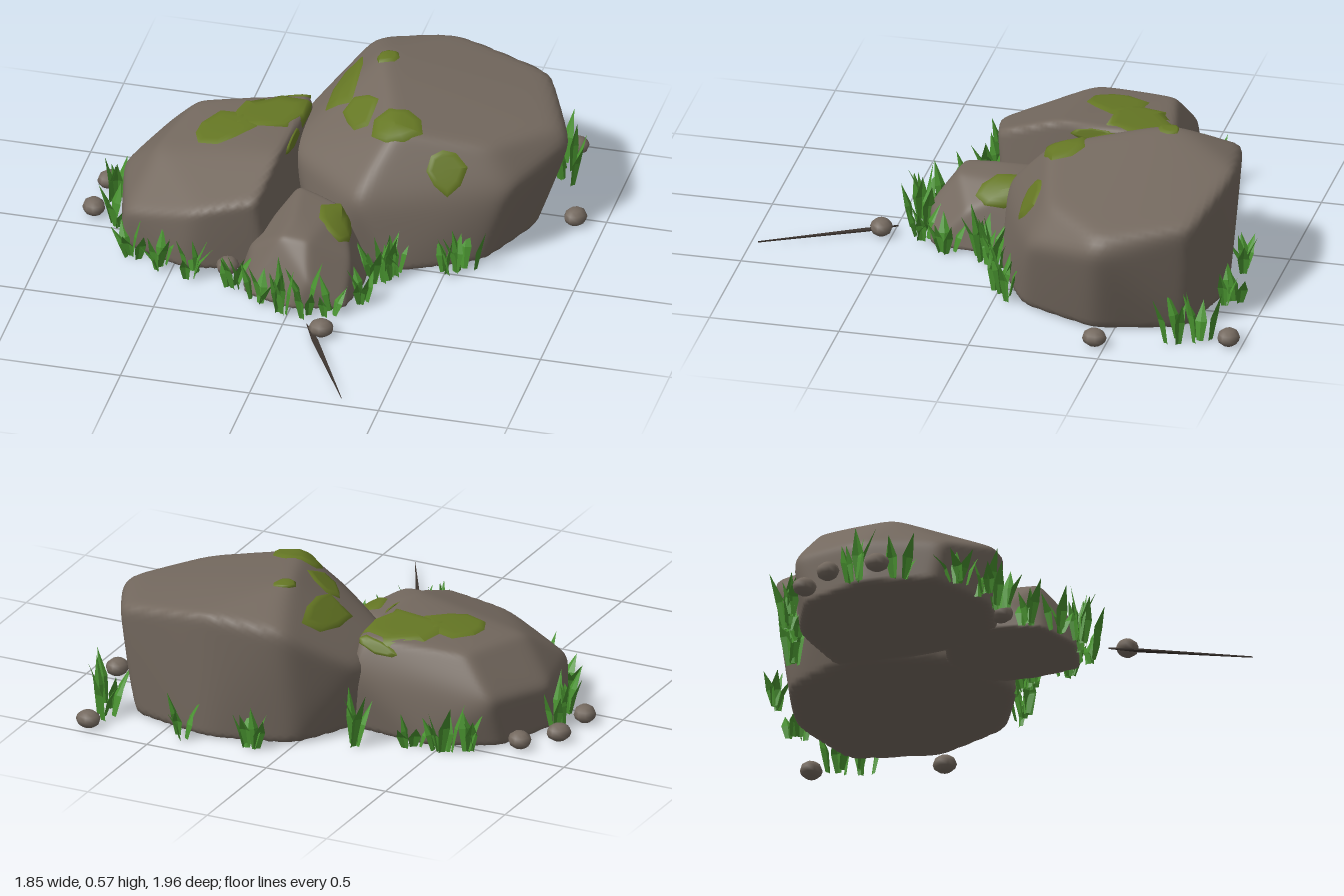
import * as THREE from 'three';
import { mergeVertices, mergeGeometries } from 'three/addons/utils/BufferGeometryUtils.js';
import { ConvexGeometry } from 'three/addons/geometries/ConvexGeometry.js';

const V = (x, y, z) => new THREE.Vector3(x, y, z);

let seed = 7;
const rand = (a, b) => {
  seed = (seed * 16807) % 2147483647;
  return a + (b - a) * (seed / 2147483647);
};

const material = (name, color, side = THREE.FrontSide) => {
  const m = new THREE.MeshStandardMaterial({ color, side });
  m.name = name;
  return m;
};
const stone = material('stone', 0x74695f);
const moss = material('moss', 0x657724, THREE.DoubleSide);
const grass = material('grass', 0x48922f, THREE.DoubleSide);
const darkStone = material('darkStone', 0x3d3530);

function addMesh(parent, name, geometry, mat) {
  const mesh = new THREE.Mesh(geometry, mat);
  mesh.name = name;
  parent.add(mesh);
  return mesh;
}

// Moves every vertex of a geometry by a rule
function reshape(geometry, rule) {
  const pos = geometry.getAttribute('position');
  for (let i = 0; i < pos.count; i++) {
    const p = rule(V().fromBufferAttribute(pos, i), i);
    pos.setXYZ(i, p.x, p.y, p.z);
  }
  geometry.computeVertexNormals();
  return geometry;
}

// Softened convex stone: distance from its centre to the surface in a given direction.
// The ground outline is a list of radii at even angles.
function boulderSurface(centre, corners, outline) {
  const pts = corners.map(p => V(...p));
  outline.forEach((r, i) => {
    const a = (i / outline.length) * Math.PI * 2;
    pts.push(V(centre.x + Math.cos(a) * r, 0, centre.z + Math.sin(a) * r));
  });
  const pos = new ConvexGeometry(pts).getAttribute('position');
  const planes = [];
  for (let i = 0; i < pos.count; i += 3) {
    const [a, b, c] = [0, 1, 2].map(k => V().fromBufferAttribute(pos, i + k));
    const n = b.sub(a).cross(c.sub(a)).normalize();
    const h = n.dot(a.sub(centre));
    if (h > 0.01 && !planes.some(p => p.n.dot(n) > 0.995 && Math.abs(p.h - h) < 0.01)) planes.push({ n, h });
  }
  return d => 1.01 * planes.reduce((s, { n, h }) => s + Math.max(0, n.dot(d) / h) ** 36, 0) ** (-1 / 36);
}

function boulderGeometry(centre, radius) {
  const ball = new THREE.IcosahedronGeometry(1, 26);
  ball.deleteAttribute('uv');
  ball.deleteAttribute('normal');
  return reshape(mergeVertices(ball), p => {
    p.normalize().multiplyScalar(radius(p)).add(centre);
    return p.setY(Math.max(0, p.y));
  });
}

// Ragged moss patch wrapped over a boulder around a target point
function mossGeometry(centre, radius, [x, y, z, width, height]) {
  const dir = V(x, y, z).sub(centre).normalize();
  const u = V(0, 1, 0).cross(dir).normalize(), v = dir.clone().cross(u);
  const middle = dir.clone().multiplyScalar(radius(dir));
  const sides = 8;
  const ragged = Array.from({ length: sides }, () => rand(0.75, 1.2));
  return reshape(new THREE.RingGeometry(0, 1, sides, 6), (p, i) => {
    const k = ragged[(i % (sides + 1)) % sides];
    const lift = p.length() > 0.99 ? 0.002 : 0.009;
    const q = middle.clone().addScaledVector(u, p.x * k * width).addScaledVector(v, p.y * k * height).normalize();
    return q.multiplyScalar(radius(q) + lift).add(centre);
  });
}

// One creased, curved grass blade leaning away from its tuft
function bladeGeometry(x, z, angle, height) {
  const out = V(Math.cos(angle), 0, Math.sin(angle)), side = V(-out.z, 0, out.x);
  const width = rand(0.038, 0.052), lean = rand(0.03, 0.075);
  return reshape(new THREE.PlaneGeometry(1, 1, 2, 2).toNonIndexed(), p => {
    const t = p.y + 0.5, s = p.x * width * (1 - t) * (0.55 + 2.9 * t);
    return V(x, height * t, z).addScaledVector(out, 0.01 + lean * t * t + Math.abs(s) * 0.35).addScaledVector(side, s);
  });
}

function addTuft(parent, x, z, height) {
  const count = Math.round(rand(4, 6)), blades = [];
  for (let k = 0; k < count; k++) {
    blades.push(bladeGeometry(x + rand(-0.025, 0.025), z + rand(-0.025, 0.025),
      (k / count) * Math.PI * 2 + rand(0, 1), height * rand(0.6, 1.05)));
  }
  addMesh(parent, 'grassTuft', mergeGeometries(blades), grass);
}

// A boulder with its moss patches [x, y, z, width, height] and grass tufts at angles in degrees
function boulder(name, centre, { corners, outline, patches, tufts }) {
  const group = new THREE.Group();
  group.name = name;
  const radius = boulderSurface(centre, corners, outline);
  addMesh(group, 'rock', boulderGeometry(centre, radius), stone);
  patches.forEach(p => addMesh(group, 'mossPatch', mossGeometry(centre, radius, p), moss));
  for (const degrees of tufts) {
    const a = THREE.MathUtils.degToRad(degrees);
    const foot = V(Math.cos(a), -0.2, Math.sin(a)).normalize();
    const reach = radius(foot) + 0.03;
    addTuft(group, centre.x + Math.cos(a) * reach, centre.z + Math.sin(a) * reach, rand(0.14, 0.2));
  }
  return group;
}

export function createModel() {
  seed = 7;
  const model = new THREE.Group();
  model.name = 'mossyBoulders';

  model.add(boulder('largeBoulder', V(0.33, 0.2, -0.42), {
    corners: [[0.12, 0.575, -0.57], [0.27, 0.51, -0.14], [0.02, 0.47, -0.83], [0.33, 0.51, -0.87], [0.71, 0.45, -0.8],
      [0.88, 0.36, -0.45], [0.82, 0.43, -0.47], [0.62, 0.44, -0.2], [0.17, 0.29, 0.05], [0.71, 0.3, -0.15],
      [-0.15, 0.29, -0.25], [-0.19, 0.27, -0.57]],
    outline: [0.42, 0.42, 0.46, 0.49, 0.5, 0.47, 0.43, 0.48],
    patches: [[-0.01, 0.45, -0.5, 0.16, 0.08], [0.13, 0.57, -0.57, 0.045, 0.035], [0.1, 0.47, -0.3, 0.09, 0.08],
      [0.27, 0.48, -0.21, 0.1, 0.09], [0.46, 0.37, -0.14, 0.075, 0.09]],
    tufts: [245, 281, 57, 66, 92],
  }));
  model.add(boulder('mediumBoulder', V(-0.45, 0.15, -0.18), {
    corners: [[-0.15, 0.4, -0.07], [-0.14, 0.38, -0.52], [-0.56, 0.35, -0.42], [-0.64, 0.32, -0.1], [-0.19, 0.31, 0.18],
      [-0.42, 0.25, 0.22], [-0.79, 0.18, -0.2], [-0.71, 0.16, 0.13], [-0.68, 0.2, -0.49], [-0.15, 0.25, -0.57]],
    outline: [0.35, 0.44, 0.4, 0.39, 0.34, 0.35, 0.37, 0.47],
    patches: [[-0.43, 0.36, -0.21, 0.11, 0.11], [-0.28, 0.38, -0.34, 0.12, 0.12],
      [-0.13, 0.37, -0.2, 0.11, 0.025], [-0.22, 0.36, -0.53, 0.08, 0.025]],
    tufts: [85, 105, 121, 155, 244, 259, 278],
  }));
  model.add(boulder('smallBoulder', V(0, 0.08, 0.14), {
    corners: [[-0.04, 0.26, 0.15], [0.1, 0.24, 0], [-0.09, 0.24, -0.1], [0.04, 0.24, 0.27], [-0.07, 0.24, 0.27],
      [0.19, 0.15, 0.2], [0.06, 0.12, 0.37], [-0.2, 0.13, 0.2]],
    outline: [0.23, 0.28, 0.25, 0.27, 0.25, 0.28, 0.26, 0.28],
    patches: [[0.11, 0.21, 0.09, 0.12, 0.085]],
    tufts: [355, 28, 56, 80, 120, 148],
  }));

  // Taller tufts standing clear of the rock faces
  [[0.76, -0.85], [0.78, -0.75], [-0.82, -0.19], [-0.21, -0.67], [0.3, 0.09], [-0.03, 0.42]]
    .forEach(([x, z]) => addTuft(model, x, z, 0.22));

  // Pebbles at x, z
  [[0.77, -0.95], [0.89, -0.46], [-0.77, -0.41], [-0.87, -0.28], [-0.88, -0.08], [0.16, 0.54], [-0.29, 0.2]]
    .forEach(([x, z], i) => {
      const p = addMesh(model, 'pebble', new THREE.SphereGeometry(0.048, 9, 6), stone);
      p.scale.set(1, 0.72, 0.9);
      p.rotation.y = i * 1.3;
      p.position.set(x, 0.034, z);
    });

  // Thin stone splinter lying on the ground
  const outline = new THREE.Shape([[0.09, 0.49], [0.14, 0.6], [0.35, 0.97], [0.16, 0.59]].map(([x, z]) => new THREE.Vector2(x, -z)));
  const splinter = addMesh(model, 'splinter', new THREE.ExtrudeGeometry(outline, { depth: 0.006, bevelEnabled: false }), darkStone);
  splinter.rotation.x = -Math.PI / 2;
  splinter.position.y = 0.008;
  return model;
}
